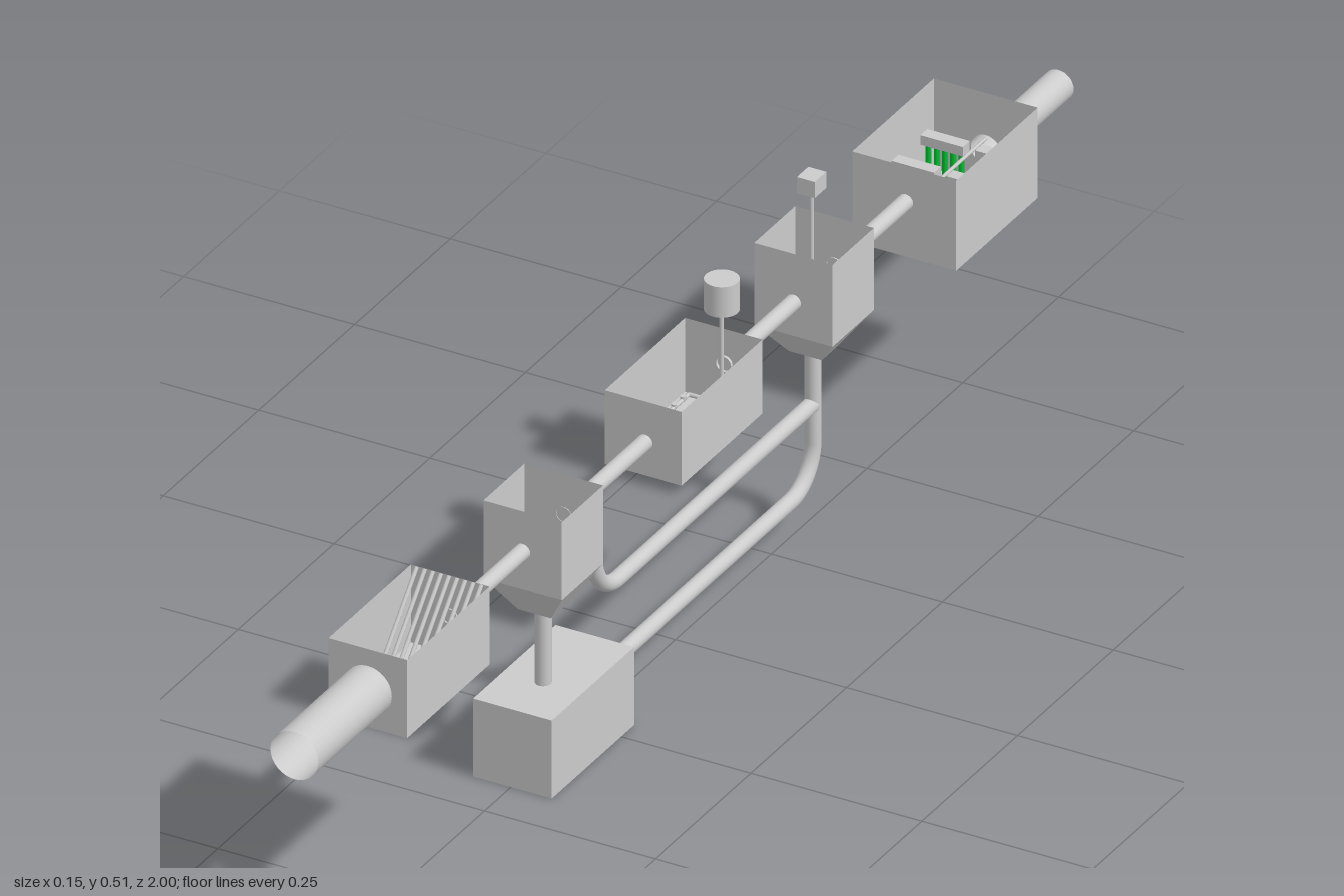
import * as THREE from 'three';

const grey = new THREE.MeshStandardMaterial({ color: 0xcccccc, side: THREE.DoubleSide });
const flat = new THREE.MeshStandardMaterial({ color: 0xcccccc, side: THREE.DoubleSide, flatShading: true });
const green = new THREE.MeshStandardMaterial({ color: 0x00c030 });
const V = (x, y, z) => new THREE.Vector3(x, y, z);
const CX = 0.002; // shared centre line of the pipework

function add(parent, name, geo, x = 0, y = 0, z = 0, mat = grey) {
  const m = new THREE.Mesh(geo, mat);
  m.name = name;
  m.position.set(x, y, z);
  parent.add(m);
  return m;
}

function group(parent, name) {
  const g = new THREE.Group();
  g.name = name;
  parent.add(g);
  return g;
}

// Straight round pipe between two points
function pipe(parent, name, a, b, r, open = true, seg = 24) {
  const d = b.clone().sub(a);
  const m = add(parent, name, new THREE.CylinderGeometry(r, r, d.length(), seg, 1, open));
  m.position.copy(a).add(b).multiplyScalar(0.5);
  m.quaternion.setFromUnitVectors(V(0, 1, 0), d.normalize());
  return m;
}

// Pipe with one rounded corner at point b
function bentPipe(parent, name, a, b, c, r, bend) {
  const p = b.clone().add(a.clone().sub(b).setLength(bend));
  const q = b.clone().add(c.clone().sub(b).setLength(bend));
  pipe(parent, name, a, p, r);
  pipe(parent, name, q, c, r);
  const k = 0.448; // control distance giving a near circular arc
  const curve = new THREE.CubicBezierCurve3(p, p.clone().lerp(b, 1 - k), q.clone().lerp(b, 1 - k), q);
  add(parent, name + 'Bend', new THREE.TubeGeometry(curve, 16, r, 24));
}

// End wall in the xy plane, with an optional round pipe opening
function endWall(parent, x, w, y0, y1, z, holeY, holeR) {
  const s = new THREE.Shape();
  s.moveTo(-w, y0).lineTo(w, y0).lineTo(w, y1).lineTo(-w, y1).closePath();
  if (holeR) s.holes.push(new THREE.Path().absarc(0, holeY, holeR, 0, Math.PI * 2, true));
  add(parent, 'endWall', new THREE.ShapeGeometry(s, 24), x, 0, z);
}

// Thin-walled basin without a lid; front and back are [height, radius] of openings
function basin(parent, name, x, w, y0, y1, zBack, zFront, front = [], back = []) {
  const g = group(parent, name);
  const len = zFront - zBack, zc = (zFront + zBack) / 2;
  endWall(g, x, w, y0, y1, zFront, ...front);
  endWall(g, x, w, y0, y1, zBack, ...back);
  for (const s of [-1, 1]) {
    add(g, 'sideWall', new THREE.PlaneGeometry(len, y1 - y0), x + s * w, (y0 + y1) / 2, zc).rotation.y = s * Math.PI / 2;
  }
  add(g, 'floor', new THREE.PlaneGeometry(w * 2, len), x, y0, zc).rotation.x = -Math.PI / 2;
  return g;
}

// Square settling hopper: straight walls above a tapered bottom
function hopper(parent, name, z, yTop, yMid, yLow) {
  const g = group(parent, name);
  const W = 0.0573, B = 0.024;
  const ring = (top, low, h) =>
    new THREE.CylinderGeometry(top * Math.SQRT2, low * Math.SQRT2, h, 4, 1, true).rotateY(Math.PI / 4).scale(1, 1, 0.94);
  add(g, 'walls', ring(W, W, yTop - yMid), CX, (yTop + yMid) / 2, z, flat);
  add(g, 'taper', ring(W, B, yMid - yLow), CX, (yMid + yLow) / 2, z, flat);
  add(g, 'base', new THREE.PlaneGeometry(B * 2, B * 1.88), CX, yLow, z).rotation.x = -Math.PI / 2;
  return g;
}

export function createModel() {
  const root = new THREE.Group();
  root.name = 'treatmentPlant';
  const R = 0.011;

  // Inlet and bar screen chamber
  pipe(root, 'inletPipe', V(CX, 0.335, 1), V(CX, 0.335, 0.808), 0.035, true, 32);
  const screen = basin(root, 'screenChamber', CX, 0.0575, 0.28, 0.395, 0.593, 0.808, [0.335, 0.035]);
  for (let i = 0; i < 9; i++) {
    const x = CX + (i - 4) * 0.0118;
    pipe(screen, 'screenBar', V(x, 0.282, 0.703), V(x, 0.396, 0.596), 0.003, false, 8);
  }

  // Main line between the units
  pipe(root, 'mainPipe', V(CX, 0.335, 0.595), V(CX, 0.335, 0.402), R);
  pipe(root, 'mainPipe', V(CX, 0.335, 0.297), V(CX, 0.335, 0.083), R);
  pipe(root, 'mainPipe', V(CX, 0.345, -0.122), V(CX, 0.345, -0.307), R);
  pipe(root, 'mainPipe', V(CX, 0.345, -0.41), V(CX, 0.345, -0.597), R);

  // First settling hopper, draining to the sludge tank
  hopper(root, 'primaryHopper', 0.35, 0.394, 0.279, 0.227);
  pipe(root, 'drainPipe', V(CX, 0.23, 0.35), V(CX, 0.112, 0.35), R);
  add(root, 'sludgeTank', new THREE.BoxGeometry(0.115, 0.115, 0.215), CX, 0.0575, 0.323);

  // Aeration basin with blower and floor air lines
  const air = basin(root, 'aerationBasin', 0, 0.0565, 0.286, 0.395, -0.126, 0.085);
  const fan = group(root, 'blower');
  add(fan, 'blowerBody', new THREE.CylinderGeometry(0.023, 0.023, 0.045, 32), 0.0005, 0.45, -0.12);
  pipe(fan, 'airDownpipe', V(0, 0.43, -0.12), V(0, 0.291, -0.12), 0.003, false, 10);
  for (const z of [-0.115, 0.074]) pipe(air, 'airManifold', V(-0.045, 0.291, z), V(0.045, 0.291, z), 0.003, false, 8);
  for (const x of [-0.045, -0.015, 0.015, 0.045]) {
    pipe(air, 'airLine', V(x, 0.291, -0.115), V(x, 0.291, 0.074), 0.003, false, 8);
    for (let i = 0; i < 8; i++) {
      add(air, 'airNozzle', new THREE.CylinderGeometry(0.004, 0.004, 0.005, 8), x, 0.294, -0.1 + i * 0.0225);
    }
  }

  // Second settling hopper with stirrer drive
  hopper(root, 'secondaryHopper', -0.358, 0.416, 0.295, 0.25);
  const drive = group(root, 'stirrer');
  add(drive, 'driveMotor', new THREE.BoxGeometry(0.026, 0.024, 0.03), 0, 0.495, -0.355);
  pipe(drive, 'driveShaft', V(0, 0.485, -0.355), V(0, 0.268, -0.355), 0.003, false, 10);
  add(drive, 'scraper', new THREE.BoxGeometry(0.05, 0.005, 0.006), 0, 0.275, -0.355);

  // Return lines below the main line
  bentPipe(root, 'sludgeReturn', V(CX, 0.055, 0.217), V(CX, 0.055, -0.355), V(CX, 0.255, -0.355), R, 0.06);
  bentPipe(root, 'recyclePipe', V(CX, 0.335, 0.217), V(CX, 0.17, 0.217), V(CX, 0.17, -0.355), R, 0.06);

  // Disinfection chamber with lamp racks
  const uv = basin(root, 'disinfectionChamber', 0, 0.076, 0.264, 0.397, -0.81, -0.597, [], [0.313, 0.022]);
  pipe(uv, 'rackRail', V(0, 0.33, -0.81), V(0, 0.33, -0.597), 0.0025, false, 8);
  for (const z of [-0.775, -0.7, -0.627]) {
    for (const s of [-1, 1]) {
      add(uv, 'lampRack', new THREE.BoxGeometry(0.062, 0.014, 0.018), s * 0.04, 0.33, z);
      for (let i = 0; i < 5; i++) {
        add(uv, 'lamp', new THREE.CylinderGeometry(0.004, 0.004, 0.045, 10), s * (0.016 + i * 0.012), 0.301, z, green);
      }
    }
  }
  pipe(root, 'outletPipe', V(0, 0.313, -0.81), V(0, 0.313, -1), 0.022, true, 32);
  return root;
}
